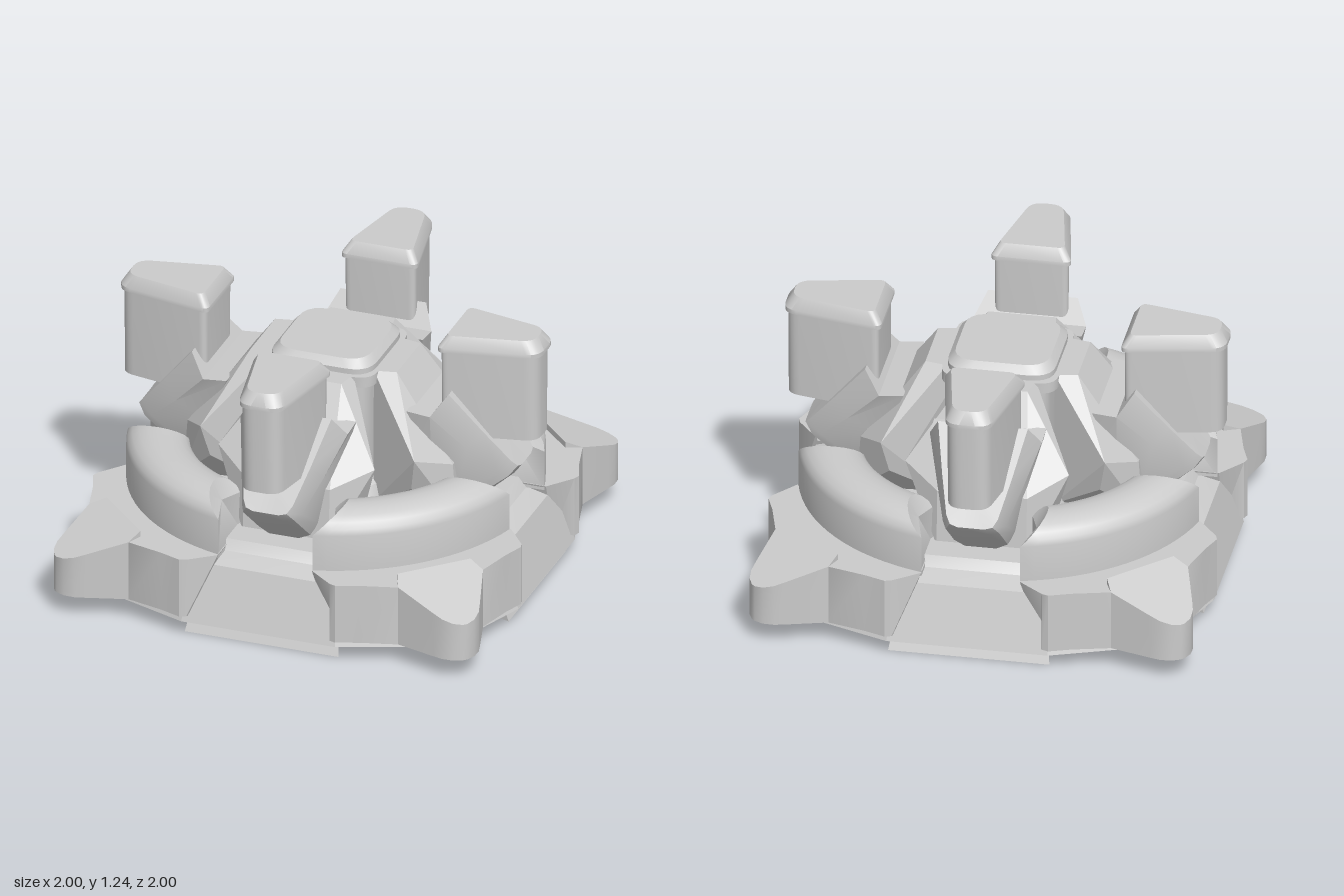
import * as THREE from 'three';
import { toCreasedNormals } from 'three/addons/utils/BufferGeometryUtils.js';
import { ConvexGeometry } from 'three/addons/geometries/ConvexGeometry.js';

const material = new THREE.MeshStandardMaterial({ color: 0xcccccc });

function addMesh(parent, name, geometry, crease = 0.6) {
  const mesh = new THREE.Mesh(toCreasedNormals(geometry, crease), material);
  mesh.name = name;
  parent.add(mesh);
}

// Closed solid through equal-length cross-sections, turned outward by its signed volume
function loft(sections) {
  const tris = [];
  const n = sections[0].length;
  for (let s = 0; s < sections.length - 1; s++) {
    const a = sections[s], b = sections[s + 1];
    for (let i = 0; i < n; i++) {
      const j = (i + 1) % n;
      tris.push([a[i], a[j], b[j]], [a[i], b[j], b[i]]);
    }
  }
  const cap = (loop, flip) => {
    const c = [0, 1, 2].map(k => loop.reduce((sum, p) => sum + p[k], 0) / n);
    loop.forEach((p, i) => {
      const q = loop[(i + 1) % n];
      tris.push(flip ? [c, q, p] : [c, p, q]);
    });
  };
  cap(sections[0], true);
  cap(sections[sections.length - 1], false);
  const V = p => new THREE.Vector3(...p);
  let volume = 0;
  for (const [a, b, c] of tris) volume += V(a).dot(V(b).cross(V(c)));
  const ordered = volume < 0 ? tris.map(([a, b, c]) => [a, c, b]) : tris;
  const g = new THREE.BufferGeometry();
  g.setAttribute('position', new THREE.Float32BufferAttribute(ordered.flat(2), 3));
  g.computeVertexNormals();
  return g;
}

const atHeight = (pts, y) => pts.map(([x, z]) => [x, y, z]);

// Rounds each corner of a 2D polygon; radii are per corner
function rounded(pts, radii, steps = 5) {
  const out = [];
  pts.forEach((p, i) => {
    const c = new THREE.Vector2(...p);
    const toward = q => c.clone().add(new THREE.Vector2(...q).sub(c).setLength(radii[i]));
    const a = toward(pts[(i + pts.length - 1) % pts.length]);
    const b = toward(pts[(i + 1) % pts.length]);
    new THREE.QuadraticBezierCurve(a, c, b).getPoints(steps).forEach(v => out.push([v.x, v.y]));
  });
  return out;
}

const square = (h, r) => rounded([[-h, h], [h, h], [h, -h], [-h, -h]], [r, r, r, r]);

// Mirrors points across x = 0
const both = pts => pts.flatMap(([x, y, z]) => [[x, y, z], [-x, y, z]]);

// Plate with sloping edges under everything
function basePlate() {
  const ring = (h, y) => {
    const pts = [];
    for (let k = 0; k < 4; k++) {
      const c = Math.round(Math.cos(k * Math.PI / 2)), s = Math.round(Math.sin(k * Math.PI / 2));
      for (const [x, z] of [[-0.36, 0.985], [0.36, 0.985], [0.72, 0.85], [0.85, 0.72]])
        pts.push([(x * c + z * s) * h, y, (z * c - x * s) * h]);
    }
    return pts;
  };
  return loft([ring(1, 0.07), ring(0.915, 0.33), ring(0.82, 0.36), ring(0.78, 0.4)]);
}

// Wedge-shaped foot tapering toward the middle
function foot() {
  const wedge = (w, d, y) => [[-w, y, d], [w, y, d], [0.05, y, 0.13], [-0.05, y, 0.13]];
  return loft([wedge(0.36, 0.94, 0), wedge(0.345, 0.9, 0.09)]);
}

// Flat part of a corner buttress
function cornerBlock() {
  const half = (a, b) => [[a, 0.45], [a, 0.9], [b, 0.99], [b + 0.03, 1], [0.46, 0.965], [0.63, 0.92]];
  const loop = (a, b) => {
    const h = half(a, b);
    return [...h, ...h.map(([x, z]) => [z, x]).reverse()];
  };
  return loft([atHeight(loop(0.315, 0.335), 0.1), atHeight(loop(0.22, 0.335), 0.38)]);
}

// Rounded nose of a corner buttress, its top sloping down outward
function cornerNose() {
  const half = [[0.6, 0.85], [0.63, 0.92], [0.81, 0.972], [0.86, 0.985], [0.91, 0.983], [0.95, 0.965]];
  const pts = [...half, ...half.map(([x, z]) => [z, x]).reverse()];
  const top = pts.map(([x, z]) => [x, 0.38 - 0.29 * (x + z - 1.55), z]);
  return loft([atHeight(pts, 0.1), top]);
}

// Quarter ring with an arched top and chamfered ends
function ringSegment() {
  const profile = [[0.64, 0.36], [0.92, 0.36], [0.92, 0.55]];
  for (let i = 1; i < 10; i++) {
    const t = i * Math.PI / 10;
    profile.push([0.78 + 0.14 * Math.cos(t), 0.55 + 0.09 * Math.sin(t)]);
  }
  profile.push([0.64, 0.55]);
  const sections = [];
  for (let i = 0; i <= 16; i++) {
    sections.push(profile.map(([r, y]) => {
      const start = Math.asin((0.22 + Math.max(0, y - 0.55)) / r);
      const a = start + (Math.PI / 2 - 2 * start) * i / 16;
      return [r * Math.cos(a), y, r * Math.sin(a)];
    }));
  }
  return loft(sections);
}

// Flared brace leaning against the hub
function brace() {
  const pts = both([
    [0.17, 1.02, 0.24], [0.15, 1.02, 0.34], [0.365, 0.71, 0.5], [0.2, 0.64, 0.62],
    [0.18, 0.57, 0.26], [0.32, 0.55, 0.47], [0.2, 0.38, 0.64], [0.18, 0.38, 0.24],
  ]);
  return new ConvexGeometry(pts.map(p => new THREE.Vector3(...p)));
}

// Tilted cradle that holds a pod; U-shaped sections
function cradle() {
  const section = half => [...half, ...half.map(([x, y, z]) => [-x, y, z]).reverse()];
  return loft([
    section([[0.25, 0.89, 0.42], [0.2, 0.66, 0.52], [0.15, 0.47, 0.62], [0.12, 0.42, 0.65], [0.07, 0.4, 0.66]]),
    section([[0.25, 0.88, 0.53], [0.19, 0.72, 0.68], [0.14, 0.6, 0.81], [0.12, 0.585, 0.85], [0.07, 0.58, 0.86]]),
    section([[0.2, 0.98, 0.6], [0.155, 0.8, 0.745], [0.115, 0.66, 0.86], [0.095, 0.63, 0.885], [0.06, 0.62, 0.89]]),
  ]);
}

// Upright pod with a tapered plan, lip and bevelled top
function pod() {
  const loop = (d, y) => atHeight(rounded(
    [[-0.182 + d, 0.535 + d], [0.182 - d, 0.535 + d], [0.095 - 0.7 * d, 0.985 - d], [-0.095 + 0.7 * d, 0.985 - d]],
    [0.035, 0.035, 0.06, 0.06]), y);
  return loft([loop(0.014, 0.76), loop(0.012, 1.165), loop(0, 1.168), loop(0, 1.188), loop(0.034, 1.24)]);
}

export function createModel() {
  const model = new THREE.Group();
  addMesh(model, 'basePlate', basePlate(), 0.3);

  // Central hub and its cap
  addMesh(model, 'hubColumn', loft([
    atHeight(square(0.3, 0.14), 0.38), atHeight(square(0.27, 0.14), 0.48),
    atHeight(square(0.21, 0.1), 0.52), atHeight(square(0.21, 0.1), 1.0)]));
  addMesh(model, 'hubCollar', loft([atHeight(square(0.26, 0.09), 0.97), atHeight(square(0.26, 0.09), 1.02)]));
  addMesh(model, 'hubCap', loft([
    atHeight(square(0.24, 0.11), 1.0), atHeight(square(0.24, 0.11), 1.045),
    atHeight(square(0.212, 0.11), 1.08)]));

  // Everything else repeats on four sides
  const parts = { foot, cornerBlock, cornerNose, ringSegment, brace, cradle, pod };
  const crease = { brace: 0.1, foot: 0.1 };
  for (let k = 0; k < 4; k++) {
    const quarter = new THREE.Group();
    quarter.name = 'quarter' + (k + 1);
    quarter.rotation.y = k * Math.PI / 2;
    for (const [name, build] of Object.entries(parts)) addMesh(quarter, name, build(), crease[name]);
    model.add(quarter);
  }
  return model;
}
